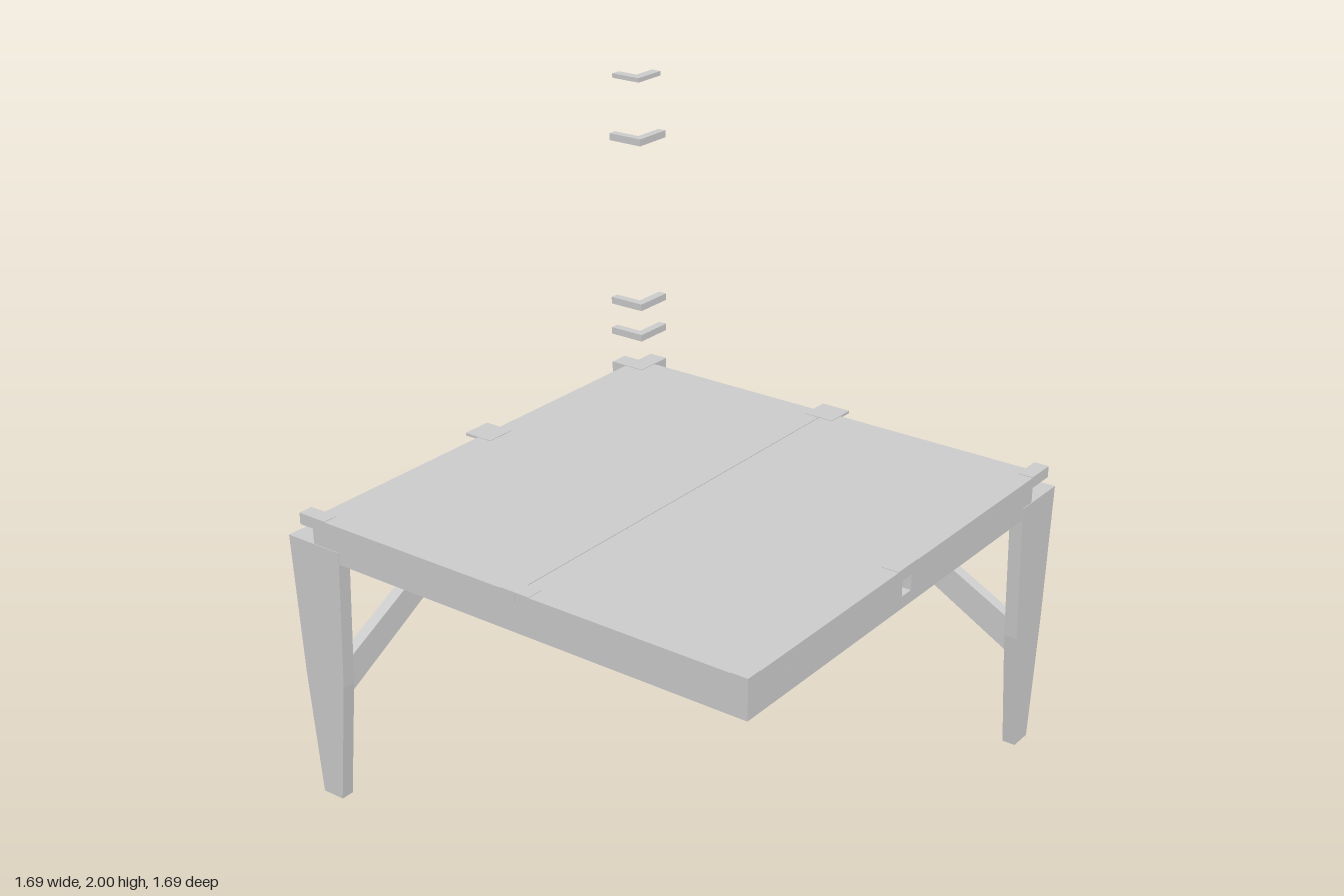
import * as THREE from 'three';

const material = new THREE.MeshStandardMaterial({ color: 0xcccccc, flatShading: true });

function add(parent, name, geometry) {
  const mesh = new THREE.Mesh(geometry, material);
  mesh.name = name;
  parent.add(mesh);
  return mesh;
}

// Box given by its lower and upper limits on each axis
function box(parent, name, [x0, x1], [y0, y1], [z0, z1]) {
  const geometry = new THREE.BoxGeometry(x1 - x0, y1 - y0, z1 - z0);
  geometry.translate((x0 + x1) / 2, (y0 + y1) / 2, (z0 + z1) / 2);
  return add(parent, name, geometry);
}

function plate(points, depth) {
  const shape = new THREE.Shape(points.map(([x, y]) => new THREE.Vector2(x, y)));
  return new THREE.ExtrudeGeometry(shape, { depth, bevelEnabled: false });
}

// Plan outline (x, z) raised between two heights
function slab(points, y0, y1) {
  const geometry = plate(points.map(([x, z]) => [x, -z]), y1 - y0);
  geometry.rotateX(-Math.PI / 2);
  geometry.translate(0, y0, 0);
  return geometry;
}

// One side of the support: leg, tapered rail, diagonal brace
function createSupport() {
  const side = new THREE.Group();

  const leg = plate([
    [-0.783, 0], [-0.704, 0], [-0.66, 0.42], [-0.638, 0.89], [-0.847, 0.89], [-0.82, 0.42],
  ], 0.045);
  leg.translate(0, 0, 0.802);
  add(side, 'leg', leg);

  add(side, 'taperedRail', slab([
    [-0.847, 0.845], [-0.638, 0.845], [-0.665, -0.05], [-0.705, -0.75],
    [-0.783, -0.75], [-0.815, -0.2], [-0.819, 0],
  ], 0.85, 0.89));

  // Brace drawn along z, with a pad at each end
  const brace = plate([
    [-0.79, 0.32], [-0.79, 0.44], [-0.02, 0.845], [0.15, 0.845],
  ], 0.04);
  brace.rotateY(Math.PI / 2);
  brace.translate(-0.763, 0, 0);
  add(side, 'brace', brace);
  box(side, 'braceLegPad', [-0.77, -0.716], [0.3, 0.45], [0.788, 0.802]);
  box(side, 'braceRailPad', [-0.77, -0.716], [0.838, 0.85], [-0.2, 0.03]);
  return side;
}

// Mirrors a group across the diagonal by swapping x and z, keeping faces outward
function swapAxes(group) {
  group.traverse((mesh) => {
    if (!mesh.isMesh) return;
    const geometry = mesh.geometry.index ? mesh.geometry.toNonIndexed() : mesh.geometry;
    const p = geometry.attributes.position;
    for (let i = 0; i < p.count; i += 3) {
      const corners = [0, 2, 1].map((k) => [p.getZ(i + k), p.getY(i + k), p.getX(i + k)]);
      corners.forEach((c, k) => p.setXYZ(i + k, ...c));
    }
    geometry.computeVertexNormals();
    mesh.geometry = geometry;
  });
  return group;
}

// L-shaped piece with its outer corner towards +x, +z
function cornerPiece(parent, name, y0, y1, edge, inner) {
  add(parent, name, slab([
    [-0.8, edge], [edge, edge], [edge, -0.81], [inner, -0.81], [inner, inner], [-0.8, inner],
  ], y0, y1));
}

export function createModel() {
  const model = new THREE.Group();
  model.name = 'platform';

  // Two matching supports on adjacent sides
  const sideSupport = createSupport();
  sideSupport.name = 'sideSupport';
  const backSupport = swapAxes(createSupport());
  backSupport.name = 'backSupport';
  model.add(sideSupport, backSupport);

  // Straight rails and the cross beam
  box(model, 'frontRail', [-0.66, 0.845], [0.85, 0.89], [0.802, 0.845]);
  box(model, 'leftRail', [0.802, 0.845], [0.85, 0.89], [-0.66, 0.802]);
  box(model, 'crossBeam', [-0.7, 0.802], [0.85, 0.89], [0.03, 0.08]);

  // Open rim under the deck, its sides split over the cross beam
  for (const z of [[-0.695, 0.03], [0.08, 0.802]]) {
    box(model, 'sideRim', [-0.742, -0.702], [0.89, 0.94], z);
    box(model, 'sideRim', [0.802, 0.845], [0.89, 0.94], z);
  }
  box(model, 'frontRim', [-0.742, 0.845], [0.89, 0.94], [0.802, 0.845]);
  box(model, 'backRim', [-0.702, 0.802], [0.89, 0.94], [-0.695, -0.655]);

  // Deck panels, with a narrow seam
  for (const x of [[-0.742, 0.051], [0.054, 0.845]]) {
    box(model, 'deckPanel', x, [0.94, 0.976], [-0.742, 0.845]);
  }

  // Thin edge clips: a flange on the deck and a web below it
  for (const [x0, x1, web] of [[0, 0.104, 0.052], [0.795, 0.845, 0.84]]) {
    box(model, 'backClipFlange', [x0, x1], [0.969, 0.978], [-0.795, -0.69]);
    box(model, 'backClipWeb', [web - 0.005, web + 0.005], [0.94, 0.97], [-0.795, -0.69]);
    box(model, 'sideClipFlange', [-0.795, -0.69], [0.969, 0.978], [x0, x1]);
    box(model, 'sideClipWeb', [-0.795, -0.69], [0.94, 0.97], [web - 0.005, web + 0.005]);
  }
  box(model, 'frontClip', [0, 0.104], [0.97, 0.978], [0.79, 0.845]);
  box(model, 'leftClip', [0.79, 0.845], [0.97, 0.978], [0, 0.104]);
  box(model, 'frontCornerClip', [0.79, 0.845], [0.97, 0.978], [0.79, 0.845]);

  // Corner clip and the stack of slim loose corner pieces above it
  cornerPiece(model, 'cornerClip', 0.94, 0.978, -0.67, -0.738);
  for (const y of [1.083, 1.195, 1.777]) {
    cornerPiece(model, 'cornerPiece', y, y + 0.024, -0.67, -0.7);
  }
  cornerPiece(model, 'topCornerPiece', 1.985, 2, -0.69, -0.725);
  return model;
}
